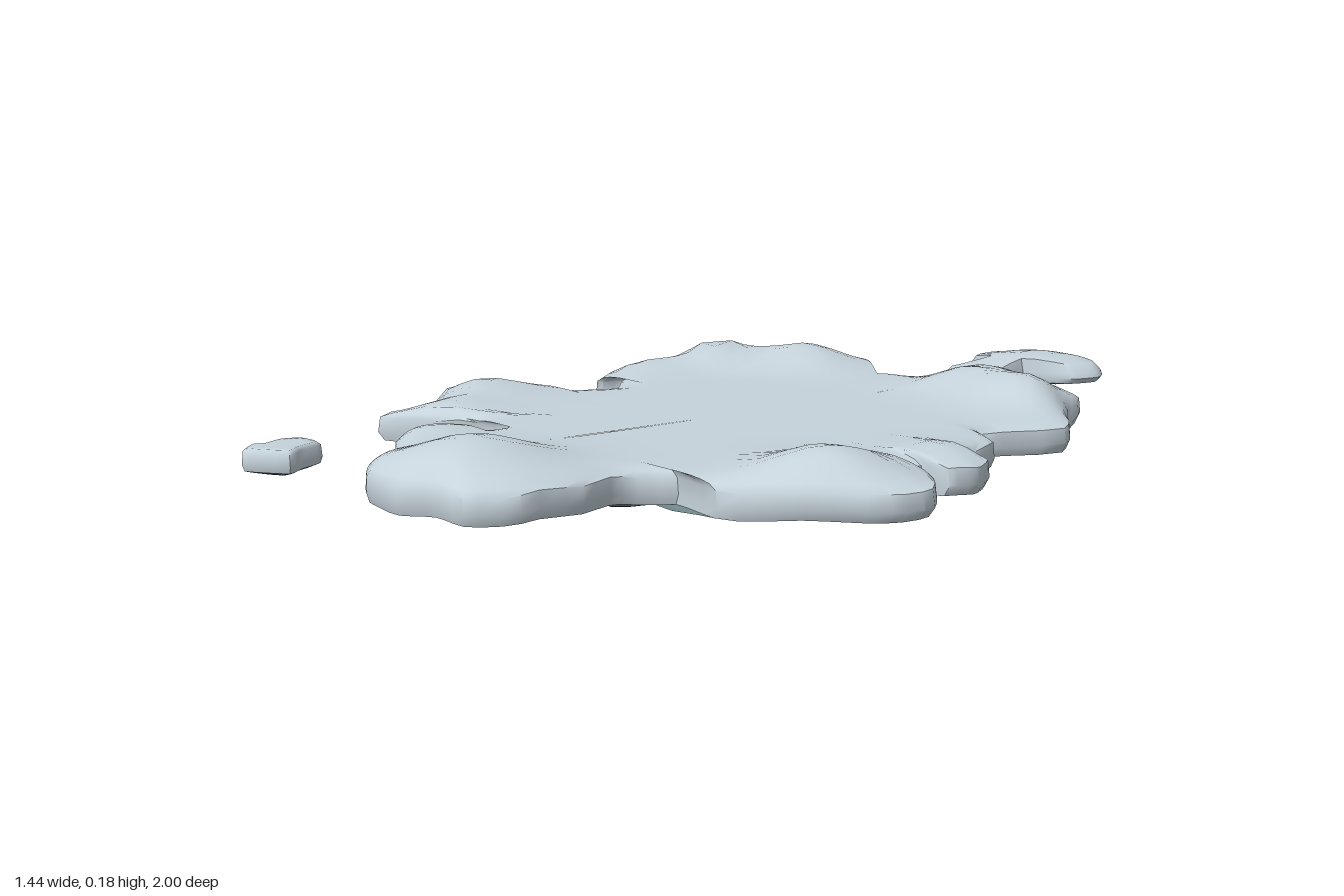
import * as THREE from 'three';
import { mergeVertices, toCreasedNormals } from 'three/addons/utils/BufferGeometryUtils.js';

const ice = new THREE.MeshStandardMaterial({ color: 0xc6d3db });
ice.name = 'pale ice';
const wetIce = new THREE.MeshStandardMaterial({ color: 0x6d8688 });
wetIce.name = 'dark wet ice';

const clamp = THREE.MathUtils.clamp;

// Outlines as x, z pairs, clockwise seen from above
const MAIN = [
  -.42, -.60, -.36, -.57, -.31, -.51, -.25, -.465, -.20, -.50, -.06, -.50, -.01, -.54, 0, -.60,
  .07, -.63, .16, -.60, .26, -.605, .33, -.49, .41, -.40, .48, -.31, .41, -.15, .49, -.10,
  .52, 0, .57, .04, .61, .04, .64, .10, .62, .15, .56, .155, .56, .195, .64, .205, .72, .285,
  .70, .36, .60, .46, .48, .55, .35, .53, .30, .61, .315, .70, .31, .82, .26, .90, .18, .905,
  .12, .94, 0, .93, -.08, .88, -.12, .80, -.22, .75, -.29, .69, -.28, .60, -.185, .60,
  -.20, .525, -.34, .545, -.50, .63, -.55, .48, -.71, .35, -.60, .21, -.53, .23, -.46, .085,
  -.55, 0, -.60, .03, -.70, -.11, -.66, -.20, -.72, -.38, -.52, -.49,
];
const KEEL = [
  -.25, -.28, -.05, -.34, .20, -.30, .33, -.20, .36, -.02, .43, .10, .44, .25, .33, .38,
  .20, .42, .15, .54, -.05, .50, -.20, .42, -.35, .40, -.43, .22, -.37, .05, -.38, -.15,
];
const BACK = [
  -.22, -1, -.12, -.95, -.06, -.985, .01, -.97, .04, -.92, .02, -.85, -.08, -.80,
  -.06, -.68, -.11, -.655, -.21, -.68, -.19, -.80, -.26, -.81, -.31, -.92,
];
const CHIP = [
  -.38, .85, -.32, .845, -.29, .90, -.26, .94, -.34, .995, -.38, .96, -.37, .94, -.395, .89,
];

// Raised snow on the lobes: x, z, height, radius
const BUMPS = [
  [-.58, -.28, .055, .11], [-.40, -.41, .05, .11], [.09, -.47, .048, .12], [.27, -.42, .05, .11],
  [.54, .36, .047, .12], [.10, .78, .052, .14], [-.55, .36, .03, .11], [-.20, .67, .015, .07],
  [.53, .08, .015, .08], [-.58, -.08, .02, .09], [-.42, .50, .018, .09],
];
const snowHeight = (x, z) => BUMPS.reduce(
  (y, [bx, bz, h, r]) => y + h * Math.exp(-((x - bx) ** 2 + (z - bz) ** 2) / (r * r)), .122);

function smoothOutline(flat, tension) {
  const pts = [];
  for (let i = 0; i < flat.length; i += 2) pts.push(new THREE.Vector3(flat[i], 0, flat[i + 1]));
  return new THREE.CatmullRomCurve3(pts, true, 'catmullrom', tension).getPoints(pts.length * 3).slice(0, -1);
}

// Skin from the outline in to a spine; each ring is an inset fraction and a height rule
function skin(name, outline, spine, rings, material, faceUp) {
  const pos = [], index = [], n = outline.length;
  rings.forEach(([t, height]) => outline.forEach((p, i) => {
    const [sx, sz] = spine(p.x, p.z);
    const x = p.x + (sx - p.x) * t, z = p.z + (sz - p.z) * t;
    pos.push(x, typeof height === 'function' ? height(x, z, i) : height, z);
  }));
  for (let r = 0; r < rings.length - 1; r++) {
    for (let i = 0; i < n; i++) {
      const a = r * n + i, b = r * n + (i + 1) % n, c = a + n, d = b + n;
      if (faceUp) index.push(a, c, b, b, c, d);
      else index.push(a, b, c, b, d, c);
    }
  }
  let geo = new THREE.BufferGeometry();
  geo.setAttribute('position', new THREE.Float32BufferAttribute(pos, 3));
  geo.setIndex(index);
  geo = toCreasedNormals(mergeVertices(geo, 1e-4), 0.9);
  const mesh = new THREE.Mesh(geo, material);
  mesh.name = name;
  return mesh;
}

export function createModel() {
  const group = new THREE.Group();
  group.name = 'iceFloe';

  // Main sheet: rounded rim rising to swollen lobes around a flat middle
  const main = smoothOutline(MAIN, .25);
  const mainSpine = (x, z) => [0, clamp(z, -.3, x < -.31 ? .2 : .65)];
  const wobble = (y, s) => (x, z) => y + s * Math.sin(x * 23 + z * 17) * Math.cos(z * 29 - x * 11);
  const top = [[.02, wobble(.06, .004)], [0, wobble(.078, .005)], [.008, wobble(.108, .006)]];
  for (const [t, k] of [[.04, .35], [.09, .7], [.15, .92], [.22, 1], [.3, 1], [.4, 1], [.52, 1], [.66, 1], [.82, 1], [1, 1]]) {
    top.push([t, (x, z) => .11 + (snowHeight(x, z) - .11) * k]);
  }
  group.add(skin('sheetTop', main, mainSpine, top, ice, true));
  group.add(skin('sheetUnderside', main, mainSpine,
    [[.02, wobble(.06, .004)], [.1, wobble(.057, .004)], [.25, wobble(.056, .005)], [.5, .058], [1, .058]], wetIce, false));

  // Smaller slab hanging below the sheet
  group.add(skin('keel', smoothOutline(KEEL, .3), () => [0, .1],
    [[.12, .066], [.02, .05], [0, wobble(.034, .006)], [.03, wobble(.02, .005)], [.15, wobble(.012, .004)],
      [.35, wobble(.007, .003)], [.65, .002], [1, 0]], wetIce, false));

  // Loose pieces drifting off the back and front
  const loose = [
    ['backPiece', BACK, (x, z) => [-.13, clamp(z, -.9, -.72)], .082,
      (x, z) => .112 + .03 * Math.exp(-((x + .12) ** 2 + (z + .87) ** 2) / .02)],
    ['frontChip', CHIP, () => [-.335, .92], .07, () => .112],
  ];
  for (const [name, flat, spine, low, rise] of loose) {
    const outline = smoothOutline(flat, .25);
    const piece = new THREE.Group();
    piece.name = name;
    piece.add(skin(name + 'Top', outline, spine,
      [[.06, low], [0, low + .012], [.03, .105], [.15, rise], [.4, rise], [.7, rise], [1, rise]], ice, true));
    piece.add(skin(name + 'Underside', outline, spine,
      [[.06, low], [.3, low - .005], [.7, low - .012], [1, low - .014]], wetIce, false));
    group.add(piece);
  }
  return group;
}
